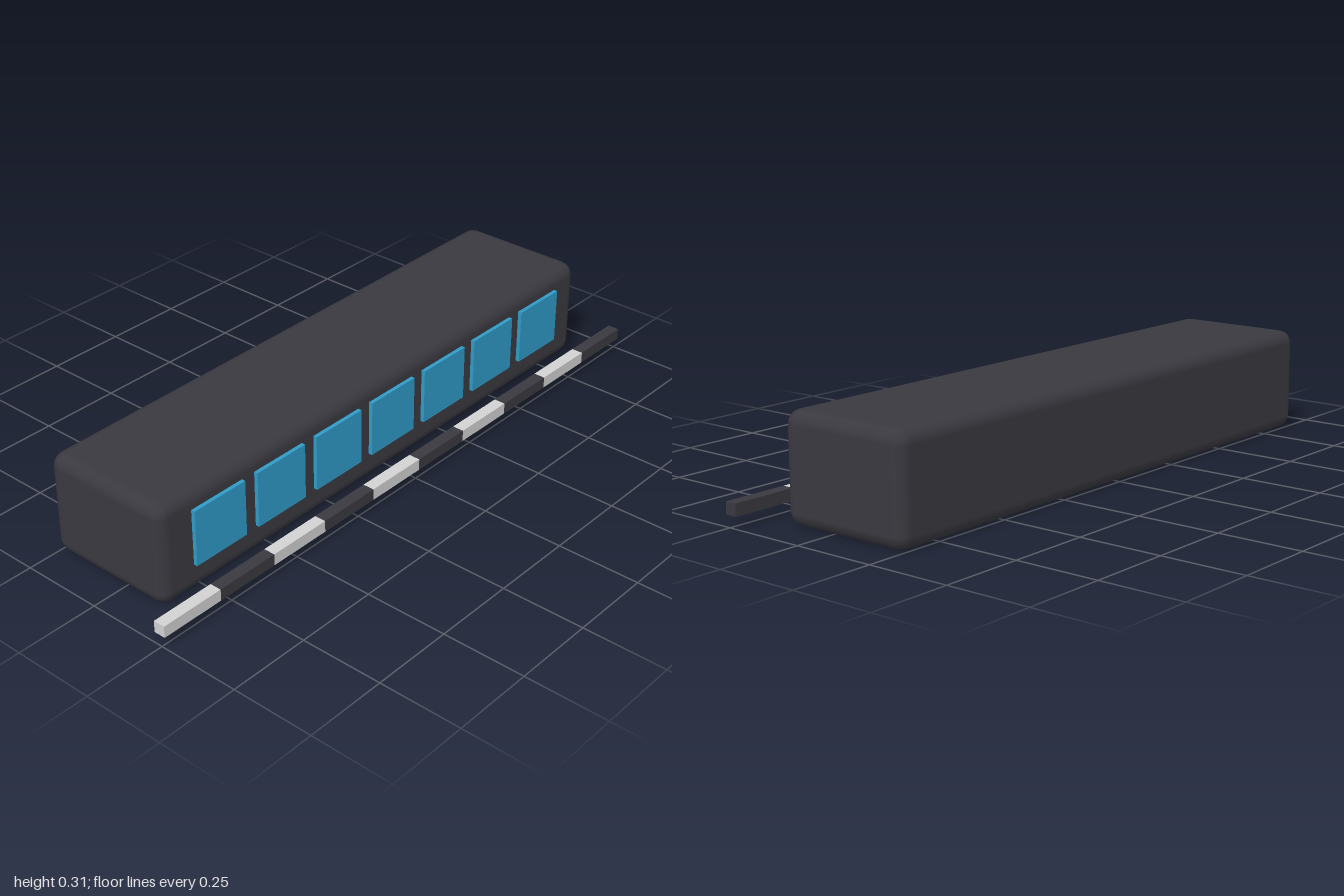
import * as THREE from 'three';
import { RoundedBoxGeometry } from 'three/addons/geometries/RoundedBoxGeometry.js';

function material(name, color) {
  const m = new THREE.MeshStandardMaterial({ color });
  m.name = name;
  return m;
}

export function createModel() {
  const group = new THREE.Group();
  group.name = 'carriage';
  const charcoal = material('charcoal', 0x3a3940);
  const blue = material('window blue', 0x2f9bc8);
  const lightGrey = material('light grey', 0xd2d2d2);

  const add = (name, geometry, mat, x, y, z) => {
    const mesh = new THREE.Mesh(geometry, mat);
    mesh.name = name;
    mesh.position.set(x, y, z);
    group.add(mesh);
  };

  // Long rounded body
  add('body', new RoundedBoxGeometry(1.8, 0.31, 0.414, 2, 0.04), charcoal, 0, 0.155, -0.054);

  // Row of seven windows, set slightly into the front
  const pane = new THREE.BoxGeometry(0.185, 0.17, 0.024);
  for (let i = 0; i < 7; i++) {
    add(`window${i + 1}`, pane, blue, (i - 3) * 0.231, 0.172, 0.153);
  }

  // Striped bar along the front, in ten alternating segments
  const segment = new THREE.BoxGeometry(0.2, 0.035, 0.036);
  for (let i = 0; i < 10; i++) {
    add(`barSegment${i + 1}`, segment, i % 2 ? charcoal : lightGrey, -0.9 + i * 0.2, 0.051, 0.244);
  }

  return group;
}
